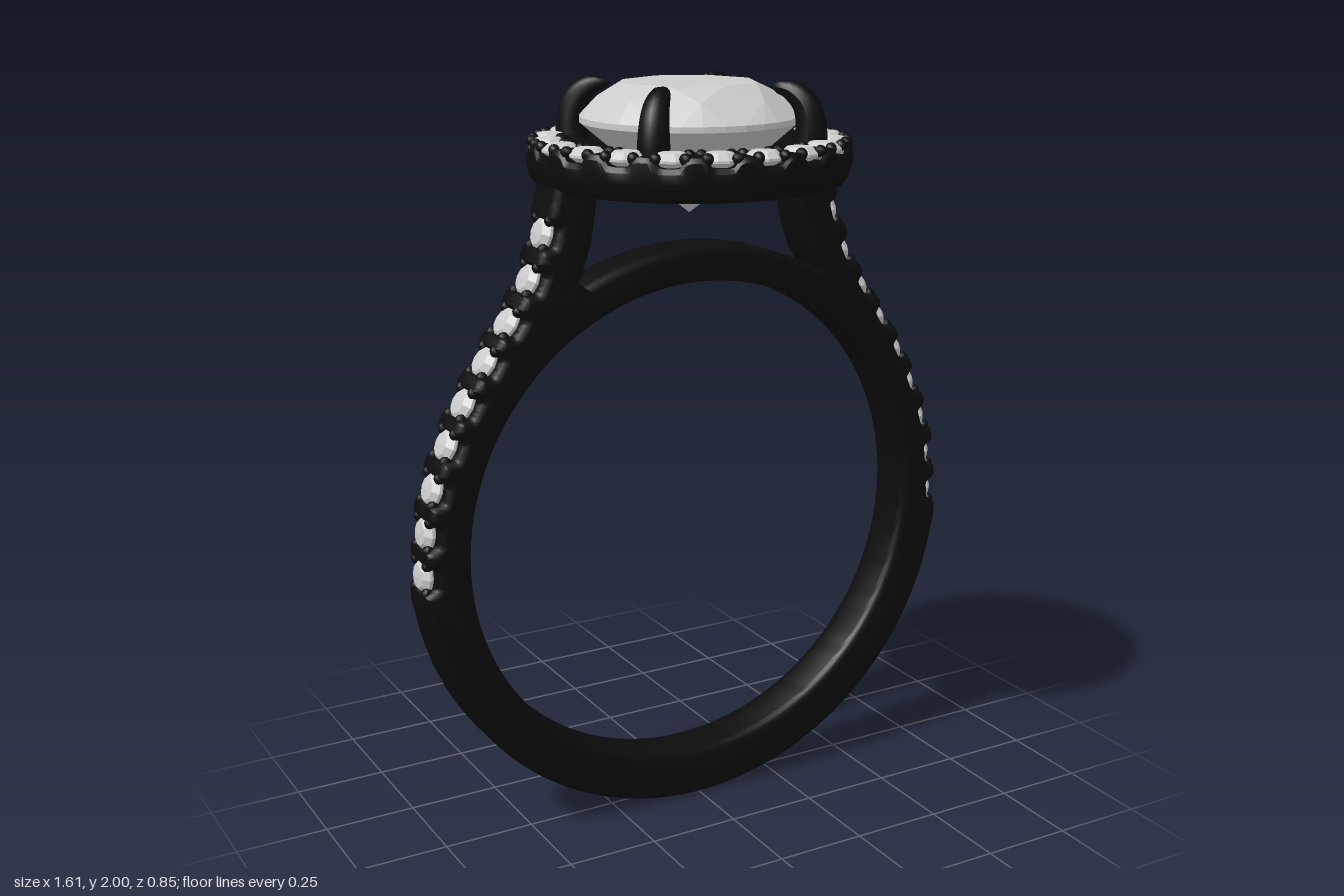
import * as THREE from 'three';
import { toCreasedNormals } from 'three/addons/utils/BufferGeometryUtils.js';
import { ConvexGeometry } from 'three/addons/geometries/ConvexGeometry.js';

const metal = new THREE.MeshStandardMaterial({ color: 0x0c0c0c });
const stone = new THREE.MeshStandardMaterial({ color: 0xcccccc, flatShading: true });
const V2 = (x, y) => new THREE.Vector2(x, y);
const V3 = (x, y, z) => new THREE.Vector3(x, y, z);

const HALO_GEMS = 20, HALO_GEM_R = 0.367;
const shoulderGemY = [1.64, 1.53, 1.425, 1.33, 1.23, 1.125, 1.015, 0.9, 0.785];

function add(parent, name, geometry, material) {
  const mesh = new THREE.Mesh(geometry, material);
  mesh.name = name;
  parent.add(mesh);
  return mesh;
}

// Smooth dip: 1 at the middle, 0 at distance w
const dip = (d, w) => 1 - THREE.MathUtils.smoothstep(Math.abs(d), w * 0.45, w);

// Outer edge of the right shoulder, sampled with outward normals
const shoulderCurve = new THREE.SplineCurve([
  [0.797, 0.7], [0.796, 0.8], [0.77, 0.99], [0.692, 1.187], [0.598, 1.345],
  [0.502, 1.49], [0.454, 1.6], [0.425, 1.7], [0.412, 1.755],
].map(([x, y]) => V2(x, y)));
const shoulder = shoulderCurve.getSpacedPoints(240).map((p, i) => {
  const t = shoulderCurve.getTangentAt(i / 240);
  return { p, n: V2(t.y, -t.x) };
});
const seats = shoulderGemY.map((y) => shoulder.reduce((a, b) =>
  Math.abs(b.p.y - y) < Math.abs(a.p.y - y) ? b : a));

// Band, split shoulders and bridge in one outline, with the finger hole
function bandGeometry() {
  const half = [];
  for (let i = 0; i < 48; i++) {
    const a = -Math.PI / 2 + (i / 48) * (Math.PI / 2 - 0.14);
    half.push(V2(0.8 * Math.cos(a), 0.8 + 0.8 * Math.sin(a)));
  }
  for (const { p, n } of shoulder) {
    const d = Math.min(...seats.map((s) => s.p.distanceTo(p)));
    half.push(p.clone().addScaledVector(n, -0.03 * dip(d, 0.045)));
  }
  half.push(V2(0.295, 1.755), V2(0.303, 1.68), V2(0.318, 1.6), V2(0.345, 1.525));
  for (let i = 0; i <= 16; i++) {
    const a = Math.PI / 2 - 0.515 * (1 - i / 16);
    half.push(V2(0.768 * Math.cos(a), 0.807 + 0.768 * Math.sin(a)));
  }
  const mirrored = half.slice(1, -1).reverse().map((p) => V2(-p.x, p.y));
  const shape = new THREE.Shape([...half, ...mirrored]);
  shape.holes.push(new THREE.Path().absarc(0, 0.807, 0.672, 0, Math.PI * 2, true));
  const bevel = 0.02;
  const geo = new THREE.ExtrudeGeometry(shape, {
    depth: 0.14 - 2 * bevel, curveSegments: 64, bevelEnabled: true,
    bevelThickness: bevel, bevelSize: bevel, bevelOffset: -bevel, bevelSegments: 3,
  });
  geo.translate(0, 0, -(0.07 - bevel));
  return toCreasedNormals(geo, 0.6);
}

// Halo ring with the outer rim scooped out at each gem
function haloGeometry() {
  const profile = [
    [0.28, 1.74], [0.4, 1.74], [0.413, 1.755], [0.422, 1.785], [0.425, 1.81],
    [0.424, 1.838], [0.415, 1.85], [0.37, 1.85], [0.33, 1.85], [0.3, 1.85],
    [0.17, 1.785], [0.17, 1.765], [0.27, 1.765], [0.28, 1.74],
  ].map(([r, y]) => V2(r, y));
  const geo = new THREE.LatheGeometry(profile, HALO_GEMS * 10);
  const pos = geo.attributes.position;
  const step = (Math.PI * 2) / HALO_GEMS;
  for (let i = 0; i < pos.count; i++) {
    const x = pos.getX(i), y = pos.getY(i), z = pos.getZ(i);
    if (Math.hypot(x, z) < 0.35 || y < 1.83) continue;
    const a = Math.atan2(z, x);
    const arc = (a - Math.round(a / step) * step) * 0.42;
    pos.setY(i, y - 0.026 * dip(arc, 0.048));
  }
  return toCreasedNormals(geo, 0.6);
}

// Round brilliant centre stone
function centreStoneGeometry() {
  const pts = [V3(0, 1.655, 0)];
  const ring = (n, r, y, offset = 0) => {
    for (let i = 0; i < n; i++) {
      const a = ((i + offset) / n) * Math.PI * 2;
      pts.push(V3(r * Math.cos(a), y, r * Math.sin(a)));
    }
  };
  ring(8, 0.08, 1.716);
  ring(32, 0.285, 1.893);
  ring(32, 0.285, 1.908);
  ring(8, 0.238, 1.96, 0.5);
  ring(8, 0.178, 1.994);
  return new ConvexGeometry(pts);
}

// Curved claw: a row of shrinking circles along a path leaning in to the stone
function clawGeometry() {
  const path = new THREE.CatmullRomCurve3([
    V3(0.315, 1.8, 0), V3(0.322, 1.88, 0), V3(0.305, 1.945, 0), V3(0.262, 1.98, 0), V3(0.215, 1.985, 0),
  ]);
  const N = 16, S = 12;
  const geo = new THREE.TubeGeometry(path, N, 1, S);
  const pos = geo.attributes.position;
  for (let i = 0; i <= N; i++) {
    const c = path.getPointAt(i / N);
    const r = 0.042 * Math.sqrt(1 - Math.pow(i / N, 2)) + 0.001;
    for (let j = 0; j <= S; j++) {
      const k = i * (S + 1) + j;
      const v = V3().fromBufferAttribute(pos, k).sub(c).multiplyScalar(r).add(c);
      pos.setXYZ(k, v.x, Math.min(v.y, 2), v.z);
    }
  }
  geo.computeVertexNormals();
  return geo;
}

const smallGem = new THREE.LatheGeometry([
  [0, -0.035], [0.049, 0], [0.049, 0.006], [0.032, 0.022], [0, 0.026],
].map(([r, y]) => V2(r, y)), 10);
const bead = new THREE.SphereGeometry(0.0155, 8, 6);

// Small gem held by four corner beads, its top facing local +y
function setGem(name) {
  const g = new THREE.Group();
  g.name = name;
  add(g, 'smallGem', smallGem, stone);
  for (const x of [-1, 1]) for (const z of [-1, 1]) {
    add(g, 'bead', bead, metal).position.set(x * 0.037, 0.01, z * 0.037);
  }
  return g;
}

export function createModel() {
  const ring = new THREE.Group();
  ring.name = 'ring';
  add(ring, 'band', bandGeometry(), metal);
  add(ring, 'halo', haloGeometry(), metal);
  add(ring, 'centreStone', centreStoneGeometry(), stone);

  // Four claws on the diagonals
  const claw = clawGeometry();
  for (let i = 0; i < 4; i++) {
    add(ring, 'claw', claw, metal).rotation.y = Math.PI / 4 + (i * Math.PI) / 2;
  }

  // Gems around the halo
  for (let i = 0; i < HALO_GEMS; i++) {
    const a = (i / HALO_GEMS) * Math.PI * 2;
    const gem = setGem('haloGem');
    gem.position.set(HALO_GEM_R * Math.cos(a), 1.836, HALO_GEM_R * Math.sin(a));
    gem.rotation.y = -a;
    ring.add(gem);
  }

  // Gems down both shoulders
  for (const side of [-1, 1]) for (const { p, n } of seats) {
    const gem = setGem('shoulderGem');
    gem.position.set(side * (p.x - n.x * 0.022), p.y - n.y * 0.022, 0);
    gem.quaternion.setFromUnitVectors(V3(0, 1, 0), V3(side * n.x, n.y, 0).normalize());
    ring.add(gem);
  }
  return ring;
}
